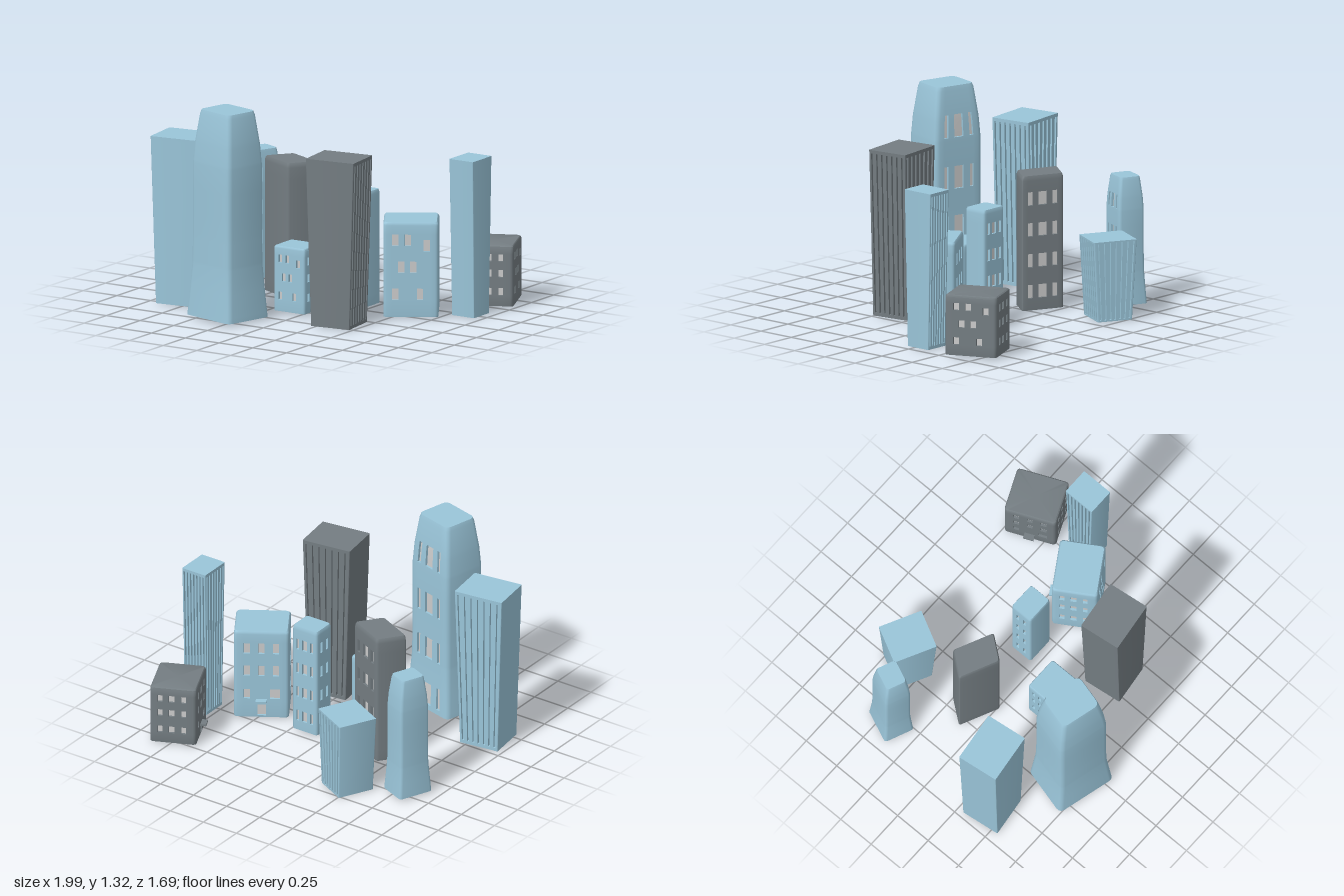
import * as THREE from 'three';
import { toCreasedNormals } from 'three/addons/utils/BufferGeometryUtils.js';

const BLUE = 0x9ac5d9, DARK = 0x747d82, GREY = 0xcccccc;
// side directions in order front, right, back, left: [along, outward normal] as x,z pairs
const SIDES = [[[1, 0], [0, 1]], [[0, -1], [1, 0]], [[-1, 0], [0, -1]], [[0, 1], [-1, 0]]];

// an opening is [u0, u1, v0, v1], as fractions of a wall
const opening = (u, v, w, h) => [u - w / 2, u + w / 2, v - h / 2, v + h / 2];

function grid(columns, rows, h) {
  return rows.flatMap(v => columns.map(([u, w]) => opening(u, v, w, h)));
}

function meshFrom(triangles, color, name) {
  const geometry = new THREE.BufferGeometry();
  geometry.setAttribute('position', new THREE.Float32BufferAttribute(triangles, 3));
  const mesh = new THREE.Mesh(toCreasedNormals(geometry, 0.6), new THREE.MeshStandardMaterial({ color }));
  mesh.name = name;
  return mesh;
}

// Four walls with recessed openings, rounded corners, roof and floor.
// profile: [height fraction, width scale, depth scale] from bottom to top
function building(o) {
  const { w, d, h, y0 = 0, r = 0.004, depth = 0.015, shear = 0, profile, walls, greyPanes = true } = o;
  const body = [], panes = [];

  const scaleAt = v => {
    let i = 1;
    while (i < profile.length - 1 && profile[i][0] < v) i++;
    const a = profile[i - 1], b = profile[i], t = (v - a[0]) / (b[0] - a[0]);
    return [a[1] + (b[1] - a[1]) * t, a[2] + (b[2] - a[2]) * t];
  };
  const halves = (k, v) => {
    const [sx, sz] = scaleAt(v), hw = w / 2 * sx, hd = d / 2 * sz;
    return k % 2 ? [hd, hw] : [hw, hd];
  };
  const place = (k, p, q, v) => {
    const [a, n] = SIDES[k], z = a[1] * p + n[1] * q;
    return [a[0] * p + n[0] * q + shear * z, y0 + (h - y0) * v, z];
  };
  const wallPoint = (k, u, v, inset = 0) => {
    const [a, b] = halves(k, v);
    return place(k, (2 * u - 1) * (a - r), b - inset, v);
  };
  const cornerPoint = (k, t, v) => {
    const [a, b] = halves(k, v), g = t * Math.PI / 2;
    return place(k, a - r + r * Math.sin(g), b - r + r * Math.cos(g), v);
  };
  const quad = (list, a, b, c, e) => list.push(...a, ...b, ...c, ...a, ...c, ...e);
  const breaks = list => [...new Set(list.map(n => +n.toFixed(4)))].sort((a, b) => a - b);

  const vs = breaks([...profile.map(p => p[0]), ...walls.flat().flatMap(q => [q[2], q[3]])]);
  const arc = [0, 1 / 3, 2 / 3, 1];

  for (let k = 0; k < 4; k++) {
    const us = breaks([0, 1, ...walls[k].flatMap(q => [q[0], q[1]])]);
    const isOpen = (i, j) => {
      if (i < 0 || j < 0 || i > us.length - 2 || j > vs.length - 2) return false;
      const u = (us[i] + us[i + 1]) / 2, v = (vs[j] + vs[j + 1]) / 2;
      return walls[k].some(q => u > q[0] && u < q[1] && v > q[2] && v < q[3]);
    };
    for (let j = 0; j < vs.length - 1; j++) {
      const [v0, v1] = [vs[j], vs[j + 1]];
      for (let i = 0; i < us.length - 1; i++) {
        const ends = [[us[i], v0], [us[i + 1], v0], [us[i + 1], v1], [us[i], v1]];
        const outer = ends.map(e => wallPoint(k, ...e));
        if (!isOpen(i, j)) { quad(body, ...outer); continue; }
        // recessed pane and its reveals
        const inner = ends.map(e => wallPoint(k, ...e, depth));
        quad(greyPanes ? panes : body, ...inner);
        [[i, j - 1], [i + 1, j], [i, j + 1], [i - 1, j]].forEach((cell, s) => {
          const t = (s + 1) % 4;
          if (!isOpen(...cell)) quad(body, outer[s], outer[t], inner[t], inner[s]);
        });
      }
      // rounded corner to the next wall
      for (let s = 0; s < 3; s++) {
        quad(body, cornerPoint(k, arc[s], v0), cornerPoint(k, arc[s + 1], v0),
          cornerPoint(k, arc[s + 1], v1), cornerPoint(k, arc[s], v1));
      }
    }
  }
  // roof and floor
  for (const v of [0, 1]) {
    const ring = [0, 1, 2, 3].flatMap(k => arc.map(t => cornerPoint(k, t, v)));
    const middle = [0, y0 + (h - y0) * v, 0];
    ring.forEach((p, i) => {
      const q = ring[(i + 1) % ring.length];
      if (v) body.push(...middle, ...p, ...q);
      else (o.greyFloor ? panes : body).push(...middle, ...q, ...p);
    });
  }

  const group = new THREE.Group();
  group.name = o.name;
  group.add(meshFrom(body, o.color, 'walls'));
  if (panes.length) group.add(meshFrom(panes, GREY, 'windowPanes'));
  group.position.set(o.x, 0, o.z);
  group.rotation.y = o.turn || 0;
  return group;
}

// Tower that widens upwards, with vertical grooves on its back and right walls
function groovedTower(o) {
  const grooves = [];
  for (let i = 0; i < 7; i++) grooves.push(opening((i + 0.5) / 7, 0.5, 0.055, 0.96));
  return building({
    name: 'groovedTower', ...o, greyPanes: false,
    profile: [[0, 0.8, 0.94], [1, 1, 1]],
    walls: [[], grooves, grooves, []],
  });
}

// Tower with a flared foot and tapered top, windows on its back
function flaredTower(o) {
  const columns = [[0.17, 0.1], [0.5, 0.24], [0.83, 0.1]];
  return building({
    name: 'flaredTower', ...o, y0: 0.015, r: o.w * 0.08, greyFloor: true,
    profile: [[0, 1, 1], [0.1, 0.95, 0.95], [0.25, 0.88, 0.88], [0.4, 0.865, 0.865], [0.74, 0.865, 0.865],
      [0.84, 0.82, 0.82], [0.98, 0.7, 0.7], [1, 0.66, 0.66]],
    walls: [[], [], grid(columns, [0.08, 0.32, 0.56, 0.81], 0.11), []],
  });
}

const softTop = [[0, 0.99, 0.99], [0.02, 1, 1], [0.965, 1, 1], [0.985, 0.985, 0.985], [1, 0.94, 0.94]];

// Slender block with windows on the back, and optionally on the left
function officeBlock(o) {
  const rows = [0.14, 0.37, 0.6, 0.83];
  const back = grid([[0.17, 0.14], [0.5, 0.24], [0.83, 0.14]], rows, 0.1);
  const left = o.sideWindows ? grid([[0.28, 0.16], [0.72, 0.16]], rows, 0.1) : [];
  return building({ name: 'officeBlock', ...o, y0: 0.01, r: 0.015, profile: softTop, walls: [[], [], back, left] });
}

// Low house with scattered front windows, regular side windows and a porch at the back
function house(o) {
  const rows = [0.24, 0.54, 0.8];
  const front = [[0.18, 2], [0.44, 2], [0.83, 1.81], [0.3, 1], [0.55, 1], [0.18, 0], [0.69, 0]]
    .map(([u, row]) => opening(u, rows[0] + row * 0.285, 0.13, 0.12));
  const side = grid([[0.18, 0.12], [0.47, 0.15], [0.77, 0.12]], rows, 0.12);
  const back = [...grid([[0.2, 0.13], [0.5, 0.13], [0.8, 0.13]], rows.slice(1), 0.12),
    opening(0.2, 0.27, 0.13, 0.11), opening(0.78, 0.27, 0.2, 0.11), [0.42, 0.6, 0.02, 0.18]];
  const group = building({
    name: 'house', ...o, y0: 0.012, r: o.w * 0.06, profile: softTop, walls: [front, side, back, side],
  });
  const porch = new THREE.Mesh(new THREE.BoxGeometry(o.w * 0.2, o.h * 0.03, o.w * 0.14),
    new THREE.MeshStandardMaterial({ color: o.color }));
  porch.name = 'porchRoof';
  porch.position.set(0, o.h * 0.21, -o.d / 2 - o.w * 0.04);
  group.add(porch);
  return group;
}

export function createModel() {
  const city = new THREE.Group();
  city.name = 'cityBlock';
  city.add(
    groovedTower({ x: -0.82, z: 0.4, turn: 0.13, w: 0.329, d: 0.27, h: 1.06, color: BLUE }),
    groovedTower({ x: 0.33, z: 0.4, turn: 0.13, w: 0.329, d: 0.27, h: 1.06, color: DARK }),
    groovedTower({ x: -0.46, z: -0.605, turn: -0.47, w: 0.284, d: 0.255, h: 0.51, color: BLUE }),
    groovedTower({ x: 0.86, z: -0.275, turn: Math.PI / 2, w: 0.213, d: 0.174, h: 0.995, color: BLUE }),
    flaredTower({ x: -0.343, z: 0.634, turn: -0.254, w: 0.405, d: 0.342, h: 1.32, color: BLUE }),
    flaredTower({ x: -0.803, z: -0.442, turn: -1.972, w: 0.235, d: 0.2, h: 0.82, color: BLUE }),
    officeBlock({ x: 0.147, z: -0.123, w: 0.187, d: 0.157, h: 0.735, color: BLUE, sideWindows: true }),
    officeBlock({ x: -0.37, z: -0.12, turn: -0.437, w: 0.28, d: 0.19, h: 0.865, shear: -0.22, color: DARK }),
    house({ x: 0.55, z: -0.08, turn: 0.56, w: 0.342, d: 0.288, h: 0.613, color: BLUE }),
    house({ x: 0.796, z: -0.64, turn: 1.99, w: 0.335, d: 0.292, h: 0.395, color: DARK }),
    house({ x: -0.075, z: 0.248, w: 0.23, d: 0.2, h: 0.425, color: BLUE }),
  );
  return city;
}
